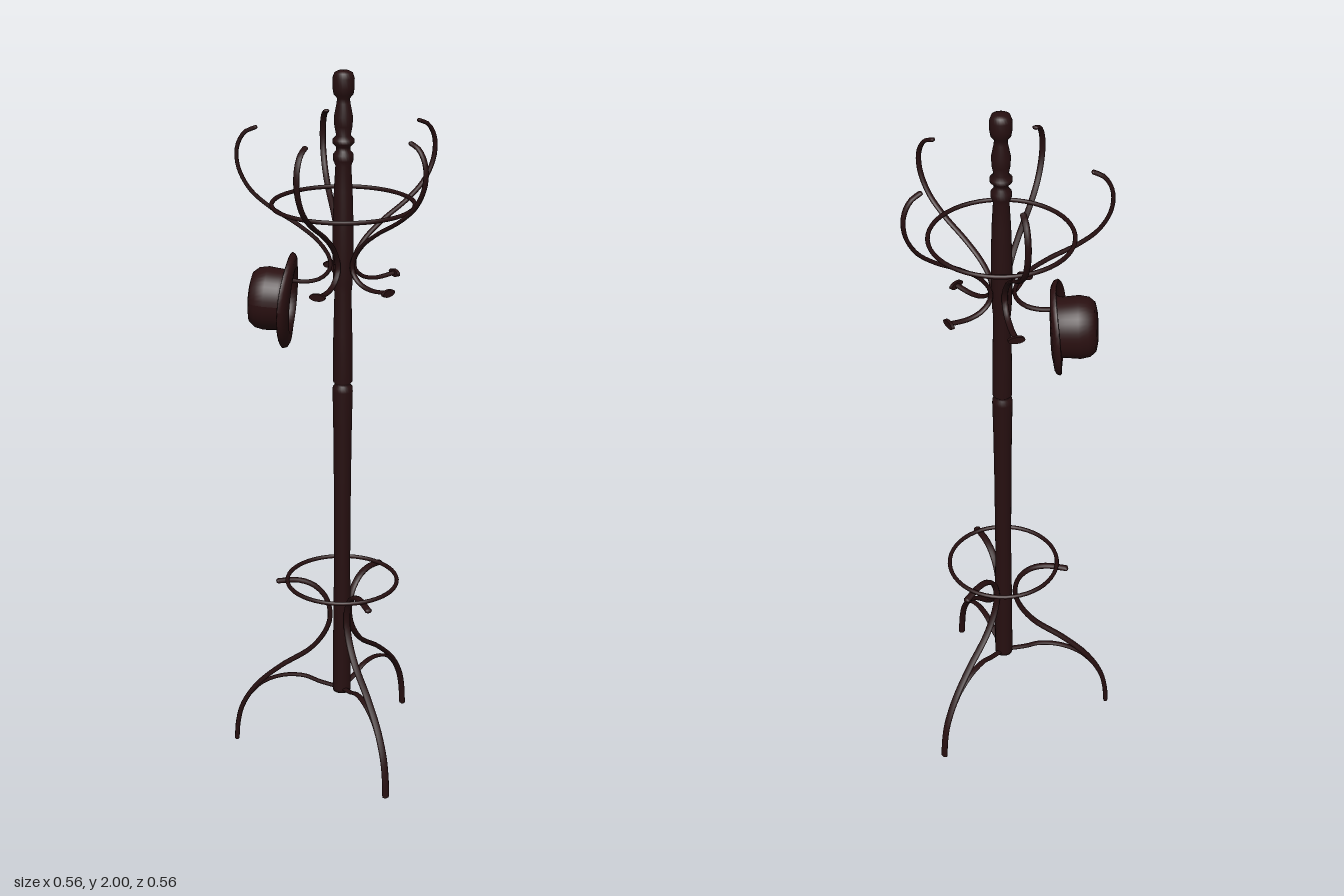
import * as THREE from 'three';
import { mergeGeometries } from 'three/addons/utils/BufferGeometryUtils.js';

const wood = new THREE.MeshStandardMaterial({ color: 0x260f10 });
wood.name = 'darkWood';
const felt = new THREE.MeshStandardMaterial({ color: 0x2a1011 });
felt.name = 'darkFelt';

const POLE_X = 0.04;
const vec2 = (pts) => pts.map(([x, y]) => new THREE.Vector2(x, y));

// Flattened bent-wood strip following (radius, height) points in one plane
function bentStrip(points, thickness, width) {
  const pts = points.map(([r, y]) => new THREE.Vector3(r, y, 0));
  const curve = new THREE.CatmullRomCurve3(pts);
  const parts = [new THREE.TubeGeometry(curve, 48, thickness / 2, 8)];
  for (const p of [pts[0], pts[pts.length - 1]]) {
    parts.push(new THREE.SphereGeometry(thickness / 2, 8, 6).translate(p.x, p.y, p.z));
  }
  return mergeGeometries(parts).scale(1, 1, width / thickness);
}

function add(parent, name, geometry, material = wood) {
  const mesh = new THREE.Mesh(geometry, material);
  mesh.name = name;
  parent.add(mesh);
  return mesh;
}

// Bowler hat: a hollow lathe with an oval outline and a rolled brim
function makeHat() {
  const geo = new THREE.LatheGeometry(vec2([
    [0, 0.1], [0.045, 0.098], [0.066, 0.088], [0.077, 0.06], [0.076, 0.005],
    [0.09, -0.009], [0.118, -0.008], [0.128, -0.003], [0.132, 0.006], [0.127, 0.01],
    [0.115, 0.001], [0.092, 0.001], [0.083, 0.012], [0.084, 0.03], [0.087, 0.065],
    [0.082, 0.09], [0.068, 0.106], [0.045, 0.111], [0, 0.112],
  ]), 40);
  const p = geo.attributes.position;
  for (let i = 0; i < p.count; i++) {
    const x = p.getX(i), z = p.getZ(i);
    // sides of the brim sweep up towards the crown
    const rim = THREE.MathUtils.smoothstep(Math.hypot(x, z), 0.08, 0.13);
    p.setY(i, p.getY(i) + rim * 0.012 * (z / 0.13) ** 2);
    p.setZ(i, z * 0.91);
  }
  geo.computeVertexNormals();
  return geo;
}

export function createModel() {
  const model = new THREE.Group();
  model.name = 'coatStand';
  const stand = new THREE.Group();
  stand.name = 'stand';
  stand.position.x = POLE_X;
  model.add(stand);

  // Turned central pole with finial
  add(stand, 'pole', new THREE.LatheGeometry(vec2([
    [0, 0.19], [0.025, 0.19], [0.026, 0.2], [0.025, 0.4], [0.023, 0.6], [0.024, 0.85],
    [0.026, 1.03], [0.028, 1.12], [0.027, 1.132], [0.022, 1.137], [0.022, 1.143],
    [0.027, 1.148], [0.026, 1.28], [0.023, 1.4], [0.026, 1.43], [0.028, 1.5],
    [0.028, 1.58], [0.025, 1.68], [0.021, 1.75], [0.027, 1.765], [0.027, 1.78],
    [0.019, 1.79], [0.019, 1.8], [0.029, 1.81], [0.029, 1.82], [0.019, 1.83],
    [0.024, 1.855], [0.025, 1.88], [0.018, 1.915], [0.017, 1.928], [0.026, 1.938],
    [0.029, 1.955], [0.029, 1.98], [0.024, 1.994], [0.014, 1.999], [0, 2],
  ]), 24));

  // Hoops
  for (const [name, radius, y] of [['upperRing', 0.19, 1.645], ['lowerRing', 0.156, 0.545]]) {
    const ring = new THREE.TorusGeometry(radius, 0.006, 8, 48).rotateX(Math.PI / 2);
    add(stand, name, ring).position.y = y;
  }

  // Five S-shaped hooks, each ending below in a small oval stop
  const hookGeo = bentStrip([
    [0.232, 1.845], [0.26, 1.832], [0.281, 1.795], [0.28, 1.74], [0.25, 1.68],
    [0.2, 1.635], [0.12, 1.585], [0.065, 1.54], [0.036, 1.495], [0.036, 1.465],
    [0.06, 1.439], [0.1, 1.428], [0.16, 1.433],
  ], 0.011, 0.017);
  const stopGeo = new THREE.CylinderGeometry(0.01, 0.01, 0.009, 16)
    .rotateZ(Math.PI / 2).scale(1, 1, 2.3).translate(0.161, 1.433, 0);
  for (let i = 0; i < 5; i++) {
    const hook = new THREE.Group();
    hook.name = 'hook' + (i + 1);
    hook.rotation.y = Math.PI + i * Math.PI * 2 / 5;
    add(hook, 'hookArm', hookGeo);
    add(hook, 'hookStop', stopGeo);
    stand.add(hook);
  }

  // Three splayed legs, each braced by a small arch to the pole foot
  const legGeo = bentStrip([
    [0.312, 0.008], [0.308, 0.06], [0.293, 0.12], [0.25, 0.19], [0.18, 0.255],
    [0.09, 0.32], [0.047, 0.38], [0.034, 0.43], [0.046, 0.485], [0.08, 0.522],
    [0.125, 0.536], [0.183, 0.53],
  ], 0.014, 0.021);
  const braceGeo = bentStrip([
    [0.278, 0.15], [0.23, 0.2], [0.17, 0.226], [0.11, 0.228], [0.065, 0.212], [0.02, 0.2],
  ], 0.009, 0.018);
  for (let i = 0; i < 3; i++) {
    const leg = new THREE.Group();
    leg.name = 'leg' + (i + 1);
    leg.rotation.y = Math.PI + i * Math.PI * 2 / 3;
    add(leg, 'legStrip', legGeo);
    add(leg, 'legBrace', braceGeo);
    stand.add(leg);
  }

  // Hat hanging on the hook at the model's right
  const hat = add(model, 'hat', makeHat(), felt);
  hat.position.set(-0.103, 1.373, 0);
  hat.rotation.z = Math.PI / 2 - 0.07;

  return model;
}
